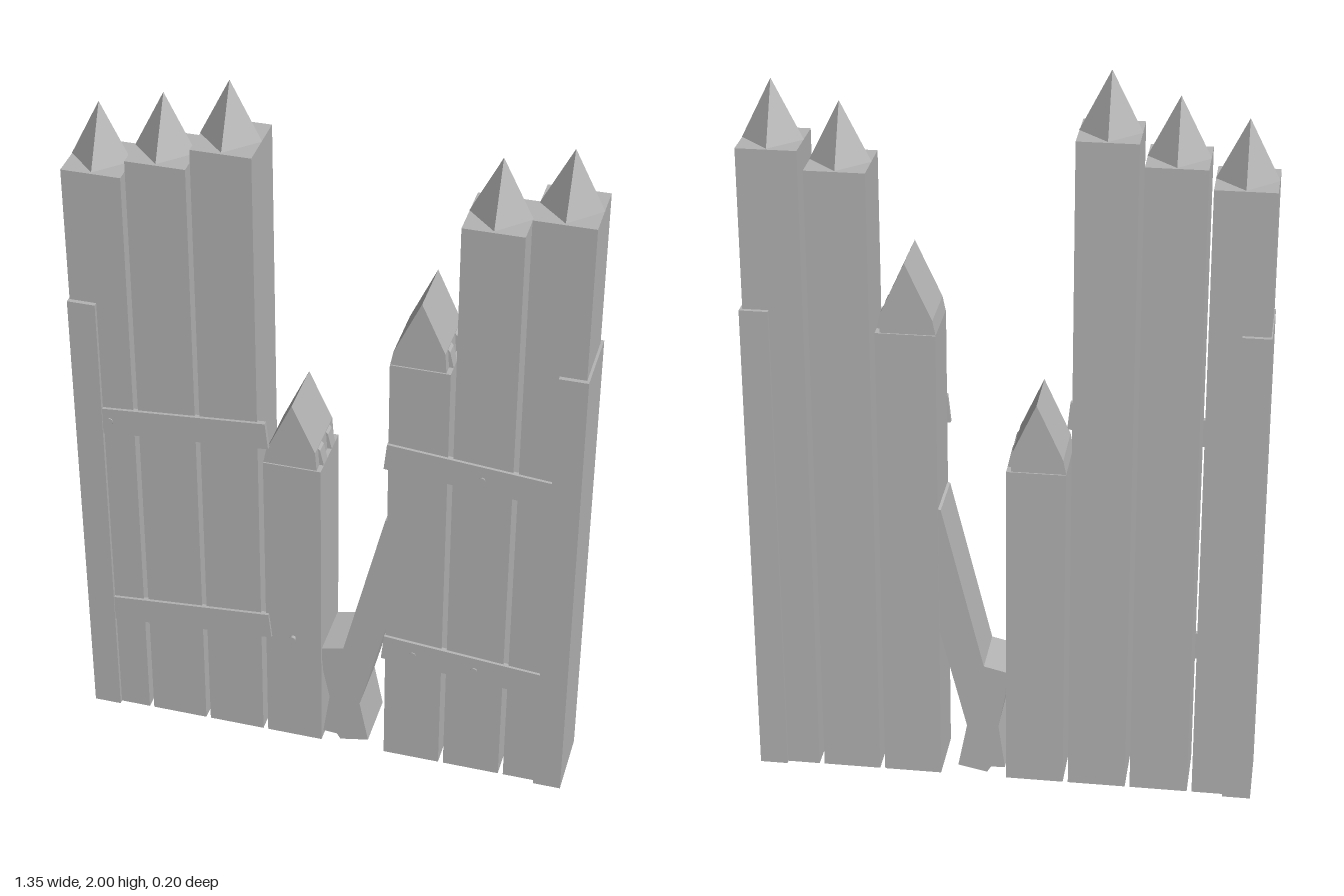
import * as THREE from 'three';

export function createModel() {
  const model = new THREE.Group();
  const grey = new THREE.MeshStandardMaterial({ color: 0xb4b4b4 });
  grey.name = 'plain grey';

  const add = (name, geometry, x = 0, y = 0, z = 0) => {
    const mesh = new THREE.Mesh(geometry, grey);
    mesh.name = name;
    mesh.position.set(x, y, z);
    model.add(mesh);
    return mesh;
  };
  // Front outline pushed from z0 to z1
  const slab = (name, points, z0, z1, x = 0, y = 0) => {
    const shape = new THREE.Shape(points.map(([px, py]) => new THREE.Vector2(px, py)));
    const geometry = new THREE.ExtrudeGeometry(shape, { depth: z1 - z0, bevelEnabled: false });
    return add(name, geometry, x, y, z0);
  };

  const W = 0.156, D = 0.172;

  // Whole posts: square beam with a diamond-based spike
  const posts = [[-0.594, 1.735], [-0.425, 1.785], [-0.256, 1.843], [0.42, 1.735], [0.59, 1.785]];
  for (const [x, h] of posts) {
    add('post', new THREE.BoxGeometry(W, h, D), x, h / 2);
    const spike = new THREE.ConeGeometry(0.079, 0.157, 4).toNonIndexed();
    spike.computeVertexNormals();
    add('spike', spike, x, h + 0.0785);
  }

  // Damaged posts: shorter, with a ridged top and a chipped edge
  for (const [x, h] of [[-0.086, 0.937], [0.25, 1.308]]) {
    add('damagedPost', new THREE.BoxGeometry(W, h, D), x, h / 2);
    slab('ridgedTop', [[-0.078, 0], [-0.07, 0.04], [0, 0.192], [0.062, 0.055], [0.066, 0]],
      -0.082, 0.082, x, h);
    for (const z of [-0.055, 0.02]) {
      slab('splinter', [[0.06, 0], [0.078, 0], [0.068, 0.045], [0.06, 0.055]], z, z + 0.035, x, h);
    }
  }

  // Snapped post leaning against its neighbour
  slab('snappedPost', [
    [-0.01, 0.33], [-0.004, 0.25], [0.014, 0.16], [-0.004, 0.03], [0.035, 0.027], [0.045, 0.01],
    [0.125, 0.026], [0.1, 0.155], [0.178, 0.47], [0.178, 0.815], [0.165, 0.81], [0.053, 0.345],
  ], -0.08, 0.08);

  // Metal-like wraps around the outer edges
  for (const side of [-1, 1]) {
    add('edgeWrap', new THREE.BoxGeometry(0.075, 1.355, 0.196), side * 0.6375, 0.6775);
  }

  // Sloping cross bars on the front, mirrored for the two leaves
  for (const side of [-1, 1]) {
    const inner = side < 0 ? 0 : 0.015;
    for (const y of [0.313, 0.953]) {
      const outline = [[0.605, 0], [0.605, 0.077], [0.155 + inner, 0.114], [0.147 + inner, 0.036]];
      slab('crossBar', outline.map(([x, dy]) => [side * x, y + dy]), 0.08, 0.094);
    }
  }

  // Nail heads
  const nails = [[-0.088, 0.355, 0.09], [-0.58, 0.995, 0.092], [0.42, 1.005, 0.092],
    [0.42, 0.365, 0.092], [0.25, 0.38, 0.092]];
  for (const [x, y, z] of nails) {
    const head = add('nail', new THREE.CylinderGeometry(0.009, 0.009, 0.01, 8), x, y, z);
    head.rotation.x = Math.PI / 2;
  }

  return model;
}
